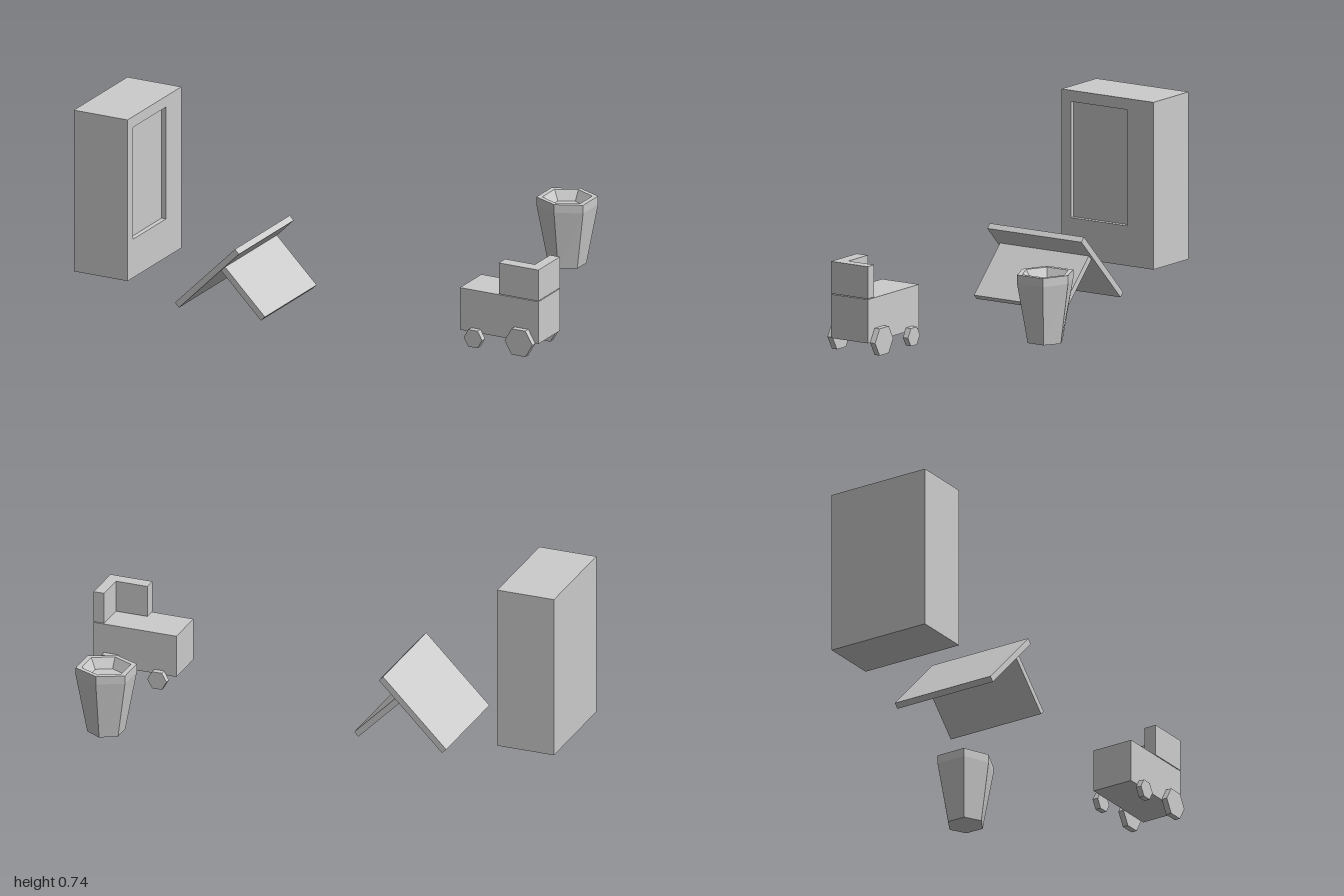
import * as THREE from 'three';

const grey = new THREE.MeshStandardMaterial({ color: 0xcccccc, flatShading: true });

function add(parent, name, geometry, x = 0, y = 0, z = 0) {
  const mesh = new THREE.Mesh(geometry, grey);
  mesh.name = name;
  mesh.position.set(x, y, z);
  parent.add(mesh);
  return mesh;
}

// Box given by its minimum and maximum corners
function block(parent, name, [x0, y0, z0], [x1, y1, z1]) {
  return add(parent, name, new THREE.BoxGeometry(x1 - x0, y1 - y0, z1 - z0),
    (x0 + x1) / 2, (y0 + y1) / 2, (z0 + z1) / 2);
}

function group(parent, name) {
  const g = new THREE.Group();
  g.name = name;
  parent.add(g);
  return g;
}

function rectangle(target, u0, v0, u1, v1) {
  target.moveTo(u0, v0);
  target.lineTo(u1, v0);
  target.lineTo(u1, v1);
  target.lineTo(u0, v1);
  target.closePath();
  return target;
}

// Tall box with a shallow recessed panel in its +x side
function makeCabinet(root) {
  const g = group(root, 'cabinet');
  block(g, 'cabinetBody', [-1, 0.07, 0.08], [-0.78, 0.74, 0.52]);
  const face = rectangle(new THREE.Shape(), -0.52, 0.07, -0.08, 0.74);
  face.holes.push(rectangle(new THREE.Path(), -0.475, 0.23, -0.205, 0.695));
  const frame = new THREE.ExtrudeGeometry(face, { depth: 0.02, bevelEnabled: false });
  frame.rotateY(Math.PI / 2);
  add(g, 'cabinetFrame', frame, -0.78);
}

// Two boards leaning against each other
function makeBoards(root) {
  const g = group(root, 'leaningBoards');
  const front = add(g, 'mainBoard', new THREE.BoxGeometry(0.378, 0.025, 0.45), -0.404, 0.143, 0.3);
  front.rotation.z = Math.PI / 4;
  const prop = add(g, 'propBoard', new THREE.BoxGeometry(0.251, 0.025, 0.425), -0.25, 0.1015, 0.3);
  prop.rotation.z = -Math.PI / 4;
}

// Six-sided tapered pot; each ring is [height, half width x, side corner z, end corner z]
function makePot(root) {
  const rings = [
    [0.098, 0.065, 0.038, 0.075],
    [0.341, 0.104, 0.062, 0.109],
    [0.375, 0.104, 0.062, 0.109],
    [0.375, 0.084, 0.05, 0.091],
    [0.335, 0.061, 0.034, 0.065],
  ];
  const positions = [];
  const index = [];
  for (const [y, hx, side, end] of rings) {
    for (const [x, z] of [[0, end], [hx, side], [hx, -side], [0, -end], [-hx, -side], [-hx, side]]) {
      positions.push(x, y, z);
    }
  }
  for (let r = 0; r < rings.length - 1; r++) {
    for (let i = 0; i < 6; i++) {
      const a = r * 6 + i, b = r * 6 + (i + 1) % 6;
      index.push(a, b, b + 6, a, b + 6, a + 6);
    }
  }
  // Underside and inner floor
  const top = (rings.length - 1) * 6;
  for (let i = 1; i < 5; i++) {
    index.push(0, i + 1, i);
    index.push(top, top + i, top + i + 1);
  }
  const geometry = new THREE.BufferGeometry();
  geometry.setAttribute('position', new THREE.Float32BufferAttribute(positions, 3));
  geometry.setIndex(index);
  const flat = geometry.toNonIndexed();
  flat.computeVertexNormals();
  add(root, 'pot', flat, 0.69, 0, -0.418);
}

// Small wagon with an L-shaped cab and hexagonal wheels
function makeWagon(root) {
  const g = group(root, 'wagon');
  block(g, 'wagonBody', [0.65, 0.067, 0.213], [1, 0.242, 0.389]);
  const cab = rectangle(new THREE.Shape(), 0, 0, 0, 0);
  cab.curves.length = 0;
  // Plan outline, with v = -z
  [[0.823, -0.389], [1, -0.389], [1, -0.213], [0.956, -0.213], [0.956, -0.337], [0.823, -0.337]]
    .forEach(([u, v], i) => (i ? cab.lineTo(u, v) : cab.moveTo(u, v)));
  cab.closePath();
  const walls = new THREE.ExtrudeGeometry(cab, { depth: 0.129, bevelEnabled: false });
  walls.rotateX(-Math.PI / 2);
  add(g, 'cabWalls', walls, 0, 0.245);

  for (const [name, x, y, r] of [['smallWheel', 0.722, 0.049, 0.041], ['largeWheel', 0.925, 0.067, 0.062]]) {
    for (const side of [-1, 1]) {
      const wheel = new THREE.CylinderGeometry(r, r, 0.024, 6, 1, false, Math.PI / 6);
      wheel.rotateX(Math.PI / 2);
      add(g, name, wheel, x, y, 0.301 + side * 0.102);
    }
  }
}

export function createModel() {
  const root = new THREE.Group();
  root.name = 'playSet';
  makeCabinet(root);
  makeBoards(root);
  makePot(root);
  makeWagon(root);
  return root;
}
